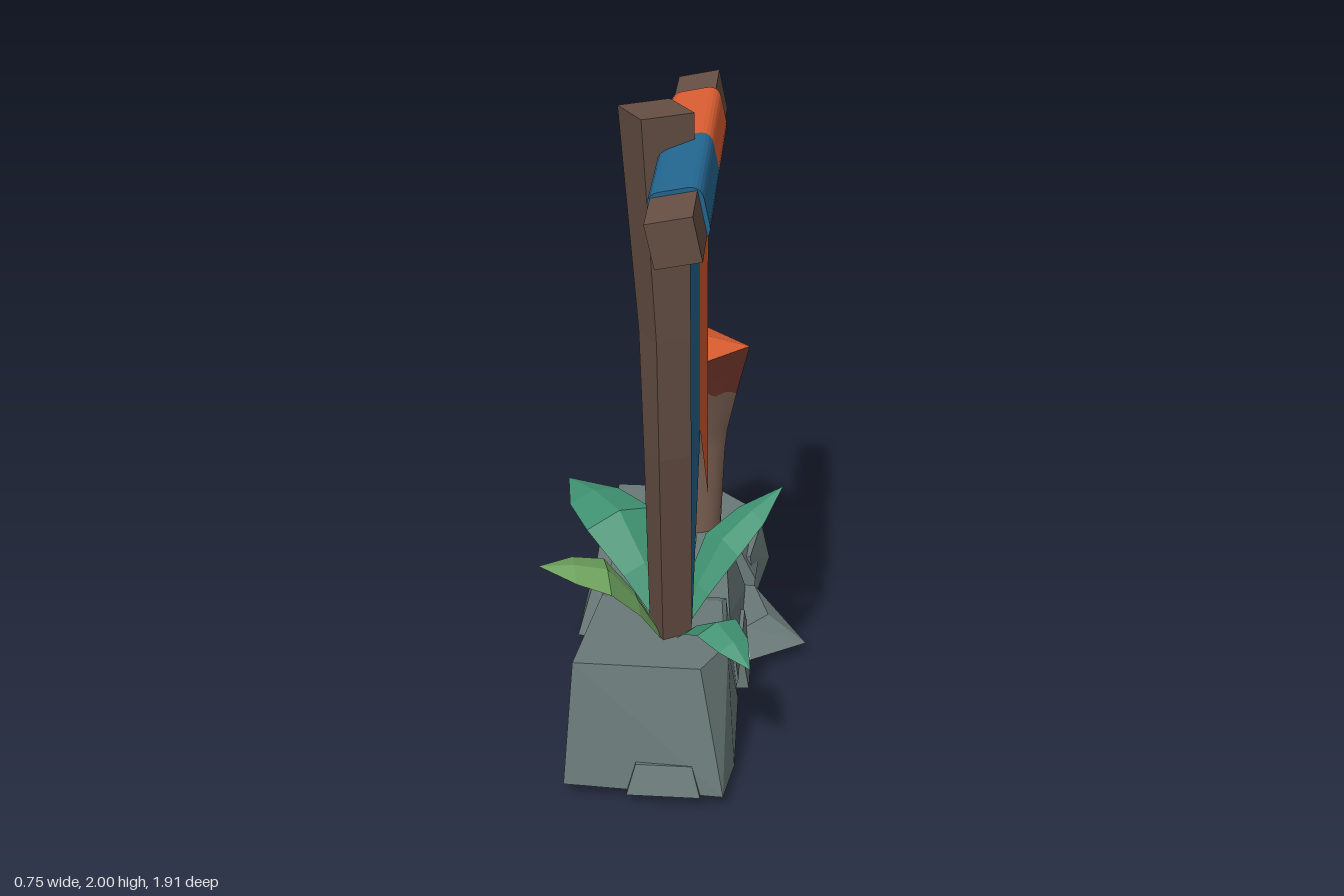
import * as THREE from 'three';
import { ConvexGeometry } from 'three/addons/geometries/ConvexGeometry.js';
import { ParametricGeometry } from 'three/addons/geometries/ParametricGeometry.js';

const paint = (name, color, side = THREE.FrontSide) => {
  const m = new THREE.MeshStandardMaterial({ color, side });
  m.name = name;
  return m;
};

export function createModel() {
  const model = new THREE.Group();
  model.name = 'bannerOnRocks';
  const stone = paint('stone', 0x697a78);
  const wood = paint('darkWood', 0x664f44);
  const bark = paint('bark', 0x7a6052);
  const red = paint('darkRed', 0x6e342a);
  const orange = paint('orange', 0xd95c30, THREE.DoubleSide);
  const blue = paint('blue', 0x23658f, THREE.DoubleSide);
  const teal = paint('tealLeaf', 0x3f9272, THREE.DoubleSide);
  const lime = paint('lightLeaf', 0x6fa45f, THREE.DoubleSide);

  const add = (name, geo, mat, parent = model) => {
    const mesh = new THREE.Mesh(geo, mat);
    mesh.name = name;
    parent.add(mesh);
    return mesh;
  };
  const flat = (geo) => {
    const g = geo.index ? geo.toNonIndexed() : geo;
    g.computeVertexNormals();
    return g;
  };

  // Rocks: convex hulls over rings of [height, [x, z] ...]
  const rock = (name, ...rings) => {
    const pts = rings.flatMap(([y, ...ring]) => ring.map(([x, z]) => new THREE.Vector3(x, y, z)));
    add(name, new ConvexGeometry(pts), stone);
  };
  rock('frontRock',
    [0.05, [-0.31, 0.62], [0.15, 0.645], [0.175, 0.5], [0.17, 0.17], [-0.28, 0.17]],
    [0.42, [0.15, 0.45], [0.13, 0.18], [-0.24, 0.18]],
    [0.435, [-0.28, 0.57], [0.08, 0.575], [0.14, 0.46], [0.12, 0.22], [-0.24, 0.22]]);
  rock('middleRock',
    [0, [-0.28, 0.18], [0.14, 0.18], [0.14, -0.37], [-0.28, -0.37]],
    [0.12, [-0.29, 0.17], [0.17, 0.17], [0.17, -0.36], [-0.27, -0.36]],
    [0.35, [-0.26, 0.16], [0.14, 0.16]],
    [0.365, [-0.24, -0.32], [0.1, -0.32]]);
  rock('backRock',
    [0.05, [-0.35, -0.38], [0.19, -0.4], [0.19, -0.74], [0.06, -0.86], [-0.34, -0.83]],
    [0.13, [-0.35, -0.4], [0.2, -0.4], [0.215, -0.77], [0.07, -0.91], [-0.05, -0.88], [-0.35, -0.86]],
    [0.235, [-0.31, -0.4], [0.15, -0.4], [0.15, -0.73], [0.04, -0.84], [-0.31, -0.84]]);
  rock('backChip',
    [0.05, [-0.31, -0.84], [-0.07, -0.84], [-0.09, -0.95], [-0.29, -0.955]],
    [0.12, [-0.31, -0.93], [-0.29, -0.955], [-0.1, -0.95], [-0.07, -0.9]],
    [0.17, [-0.3, -0.84], [-0.09, -0.84], [-0.11, -0.92], [-0.28, -0.925]]);
  rock('backSideChip',
    [0.05, [0.14, -0.4], [0.2, -0.42], [0.24, -0.68], [0.19, -0.73], [0.14, -0.7]],
    [0.2, [0.14, -0.41], [0.18, -0.43], [0.21, -0.66], [0.17, -0.7]]);
  rock('pointedSideRock',
    [0.05, [0.13, -0.42], [0.2, -0.38], [0.375, -0.15], [0.2, -0.04], [0.13, -0.04]],
    [0.135, [0.13, -0.36], [0.2, -0.35], [0.25, -0.18], [0.18, -0.1], [0.13, -0.1]]);
  rock('middleSideChip',
    [0.03, [0.12, -0.14], [0.2, -0.13], [0.2, 0.085], [0.12, 0.09]],
    [0.18, [0.12, -0.14], [0.175, -0.13], [0.175, 0.085], [0.12, 0.09]]);
  rock('leftSideRock',
    [0.05, [-0.37, -0.14], [-0.24, -0.13], [-0.24, -0.4], [-0.37, -0.38]],
    [0.23, [-0.32, -0.18], [-0.24, -0.18], [-0.24, -0.42], [-0.33, -0.41]]);
  rock('frontChip',
    [0.05, [-0.125, 0.655], [0.085, 0.655], [0.085, 0.58], [-0.125, 0.58]],
    [0.14, [-0.1, 0.63], [0.06, 0.63], [0.06, 0.56], [-0.1, 0.56]]);

  // Log: round at the foot, flaring to a square cut top
  const profile = [[0.05, 0.06], [0.3, 0.08], [0.68, 0.095], [0.85, 0.132], [1.0, 0.168]];
  const logRadius = (y) => {
    const i = Math.max(1, profile.findIndex((p) => y <= p[0] + 1e-6));
    const [[y0, r0], [y1, r1]] = [profile[i - 1], profile[i]];
    return THREE.MathUtils.lerp(r0, r1, (y - y0) / (y1 - y0));
  };
  const onLog = (a, y, target, lift = 0) => {
    const square = 1 / (Math.abs(Math.cos(a)) + Math.abs(Math.sin(a)));
    const k = THREE.MathUtils.smoothstep(y, 0.35, 0.95);
    const r = logRadius(y) * THREE.MathUtils.lerp(1, square, k) + lift;
    target.set(r * Math.cos(a), y, -0.375 - r * Math.sin(a));
  };
  const edge = (a) => 0.865 - 0.03 * Math.cos(2 * a) - 0.015 * Math.sin(5 * a);
  const log = new THREE.Group();
  log.name = 'log';
  model.add(log);
  add('logBark', new ParametricGeometry((u, v, p) => {
    const a = u * Math.PI * 2;
    onLog(a, THREE.MathUtils.lerp(0.05, edge(a), v), p);
  }, 32, 12), bark, log);
  add('logRedBand', new ParametricGeometry((u, v, p) => {
    const a = u * Math.PI * 2;
    onLog(a, THREE.MathUtils.lerp(edge(a), 1, v), p);
  }, 32, 3), red, log);
  const cap = new THREE.ConeGeometry(0.168, 0.04, 4, 1, true);
  cap.translate(0, 1.02, -0.375);
  add('logTop', flat(cap), orange, log);
  add('logStonePatch', new ParametricGeometry((u, v, p) => {
    const a = Math.PI / 2 + (u - 0.5) * (1.9 - 0.9 * v);
    onLog(a, 0.22 + v * (0.48 - 0.16 * Math.abs(u - 0.5)), p, 0.004);
  }, 8, 6), stone, log);

  // Leaning post: a box bent through stations [x, y, z, width]
  const stations = [[-0.02, 0.38, 0.37, 0.09], [-0.018, 1.05, 0.448, 0.1],
    [-0.018, 1.4, 0.46, 0.112], [-0.042, 2, 0.472, 0.142]];
  const post = new THREE.BoxGeometry(1, 3, 1, 1, 3, 1).rotateY(0.52);
  const pp = post.attributes.position;
  for (let i = 0; i < pp.count; i++) {
    const [x, y, z, w] = stations[Math.round(pp.getY(i) + 1.5)];
    pp.setXYZ(i, x + pp.getX(i) * w, y, z + pp.getZ(i) * w);
  }
  add('post', flat(post), wood);

  // Crossbar with the two cloth sleeves
  const bar = new THREE.Group();
  bar.name = 'crossbar';
  bar.position.set(0.04, 1.865, 0.45);
  bar.rotation.set(0.07, 0, 0.2);
  model.add(bar);
  add('crossbarBeam', new THREE.BoxGeometry(0.112, 0.112, 1), wood, bar);
  const h = 0.067, c = 0.035;
  const section = new THREE.Shape();
  section.moveTo(-h + c, -h).lineTo(h - c, -h).quadraticCurveTo(h, -h, h, -h + c)
    .lineTo(h, h - c).quadraticCurveTo(h, h, h - c, h)
    .lineTo(-h + c, h).quadraticCurveTo(-h, h, -h, h - c)
    .lineTo(-h, -h + c).quadraticCurveTo(-h, -h, -h + c, -h);
  const sleeve = (name, z0, z1, mat) => add(name, new THREE.ExtrudeGeometry(section,
    { depth: z1 - z0, bevelEnabled: false, curveSegments: 5 }).translate(0, 0, z0), mat, bar);
  sleeve('blueSleeve', 0, 0.35, blue);
  sleeve('orangeSleeve', -0.335, 0, orange);

  // Hanging cloth, outlined as [z, y]
  const cloth = (name, outline, mat) => {
    const shape = new THREE.Shape(outline.map(([z, y]) => new THREE.Vector2(z, y)));
    add(name, new THREE.ShapeGeometry(shape).rotateY(-Math.PI / 2).translate(0.065, 0, 0), mat);
  };
  cloth('blueCloth', [[0.788, 1.8], [0.705, 0.65], [0.4, 1.09], [0.45, 1.83]], blue);
  cloth('orangeCloth', [[0.45, 1.83], [0.4, 1.09], [0.045, 0.7], [0.122, 1.85]], orange);

  // Leaves: folded strips swept along a curve
  const leaf = (name, base, mid, tip, width, mat) => {
    const curve = new THREE.CatmullRomCurve3([base, mid, tip].map((p) => new THREE.Vector3(...p)));
    const side = new THREE.Vector3(base[2] - tip[2], 0, tip[0] - base[0]).normalize();
    const pos = [], index = [];
    [0.2, 0.65, 1, 0.75, 0].forEach((w, i) => {
      const p = curve.getPoint(i / 4);
      for (const s of [-1, 0, 1]) {
        const q = p.clone().addScaledVector(side, s * w * width / 2);
        pos.push(q.x, q.y - (s === 0 ? 0 : 0.12 * width * w), q.z);
      }
    });
    for (let i = 0; i < 4; i++) for (let j = 0; j < 2; j++) {
      const a = i * 3 + j;
      index.push(a, a + 1, a + 3, a + 1, a + 4, a + 3);
    }
    const g = new THREE.BufferGeometry();
    g.setAttribute('position', new THREE.Float32BufferAttribute(pos, 3));
    g.setIndex(index);
    // Keep the lit side of each leaf facing upward
    const f = flat(g);
    if (f.attributes.normal.getY(12) < 0) {
      g.setIndex(index.reverse());
      return add(name, flat(g), mat);
    }
    return add(name, f, mat);
  };
  leaf('wideLeaf', [-0.03, 0.42, 0.34], [-0.19, 0.69, 0.15], [-0.37, 0.68, -0.06], 0.23, teal);
  leaf('backLeaf', [-0.02, 0.42, 0.33], [-0.04, 0.58, 0.08], [-0.035, 0.48, -0.19], 0.15, lime);
  leaf('tallLeaf', [0, 0.42, 0.37], [0.12, 0.67, 0.26], [0.29, 0.78, 0.13], 0.16, teal);
  leaf('leftLeaf', [-0.04, 0.42, 0.4], [-0.19, 0.67, 0.45], [-0.38, 0.69, 0.48], 0.2, lime);
  leaf('frontLeaf', [0, 0.42, 0.4], [0.12, 0.55, 0.51], [0.22, 0.485, 0.64], 0.14, teal);

  return model;
}
